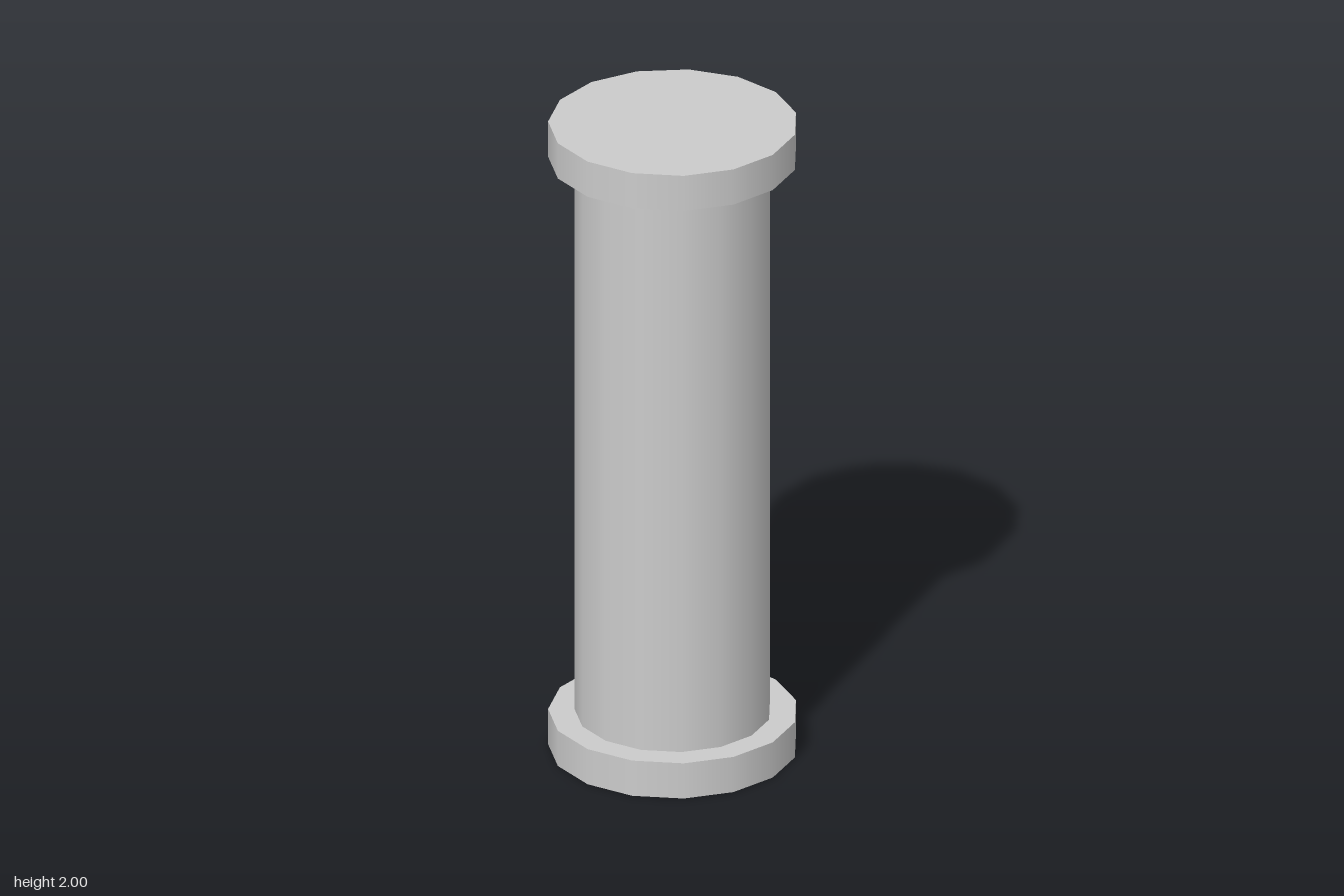
import * as THREE from 'three';

const SIDES = 15;
const HEIGHT = 2;
const CAP_HEIGHT = 0.113;
const CAP_RADIUS = 0.363;
const SHAFT_RADIUS = 0.286;

export function createModel() {
  const group = new THREE.Group();
  group.name = 'column';
  const material = new THREE.MeshStandardMaterial({ color: 0xcccccc });

  // Upright 15-sided drum with one corner pointing to +x
  function drum(name, radius, bottom, top) {
    const geometry = new THREE.CylinderGeometry(
      radius, radius, top - bottom, SIDES, 1, false, Math.PI / 2);
    const mesh = new THREE.Mesh(geometry, material);
    mesh.name = name;
    // An odd number of sides reaches further to +x, so shift to centre the bounds
    mesh.position.set(
      -CAP_RADIUS * (1 - Math.cos(Math.PI / SIDES)) / 2, (bottom + top) / 2, 0);
    group.add(mesh);
  }

  drum('base', CAP_RADIUS, 0, CAP_HEIGHT);
  drum('shaft', SHAFT_RADIUS, CAP_HEIGHT, HEIGHT - CAP_HEIGHT);
  drum('capital', CAP_RADIUS, HEIGHT - CAP_HEIGHT, HEIGHT);

  return group;
}
